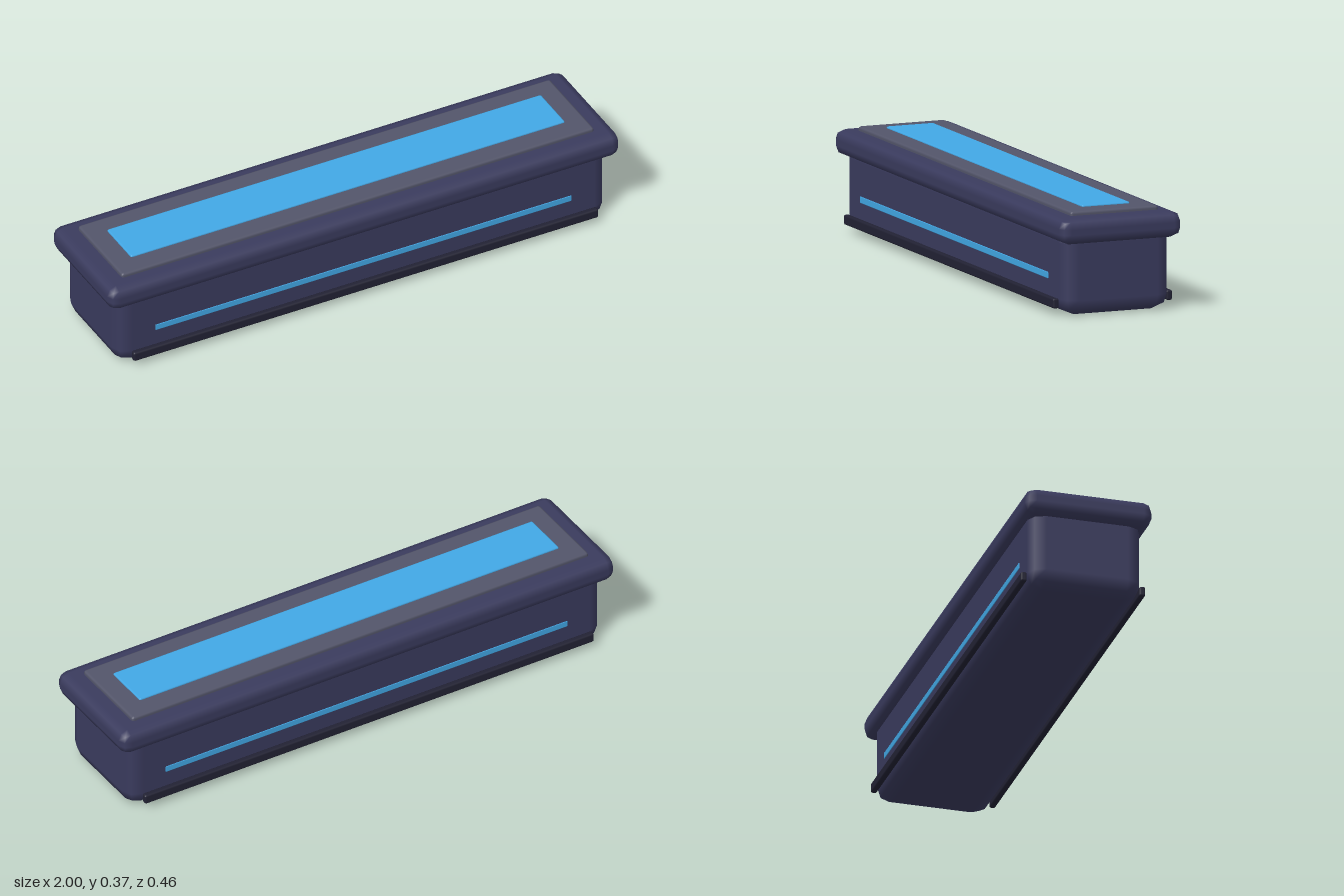
import * as THREE from 'three';

const mat = (color) => new THREE.MeshStandardMaterial({ color });
const navy = mat(0x3a3b5e);
const grey = mat(0x53556a);
const dark = mat(0x222234);
const blue = mat(0x42a8e6);

// Box with smooth rounded edges, two facets per quarter turn.
function roundedBox(w, h, d, r) {
  const geo = new THREE.BoxGeometry(3, 3, 3, 3, 3, 3);
  const pos = geo.attributes.position;
  const core = new THREE.Vector3(w / 2 - r, h / 2 - r, d / 2 - r);
  const p = new THREE.Vector3();
  const dir = new THREE.Vector3();
  const bend = (v) => (Math.abs(v) > 1 ? Math.sign(v) : 0);
  for (let i = 0; i < pos.count; i++) {
    p.fromBufferAttribute(pos, i);
    dir.set(bend(p.x), bend(p.y), bend(p.z)).normalize();
    pos.setXYZ(
      i,
      Math.sign(p.x) * core.x + dir.x * r,
      Math.sign(p.y) * core.y + dir.y * r,
      Math.sign(p.z) * core.z + dir.z * r
    );
    geo.attributes.normal.setXYZ(i, dir.x, dir.y, dir.z);
  }
  return geo;
}

export function createModel() {
  const model = new THREE.Group();
  model.name = 'console';

  // Adds a rounded block spanning y0..y1, centred on x = 0
  const block = (name, material, w, y0, y1, d, r, z = 0) => {
    const mesh = new THREE.Mesh(roundedBox(w, y1 - y0, d, r), material);
    mesh.name = name;
    mesh.position.set(0, (y0 + y1) / 2, z);
    model.add(mesh);
  };

  // Main body and overhanging lid
  block('body', navy, 1.92, 0, 0.31, 0.406, 0.056);
  block('lid', navy, 2, 0.258, 0.349, 0.458, 0.036);

  // Top panel with glowing inset
  block('topPanel', grey, 1.85, 0.335, 0.364, 0.33, 0.01);
  block('topScreen', blue, 1.7, 0.35, 0.37, 0.18, 0.006);

  // Light strip and bottom rail on both long sides
  for (const [label, s] of [['front', 1], ['back', -1]]) {
    block(label + 'LightStrip', blue, 1.63, 0.114, 0.138, 0.014, 0.003, s * 0.198);
    block(label + 'Rail', dark, 1.82, 0.024, 0.06, 0.022, 0.007, s * 0.214);
  }
  return model;
}
